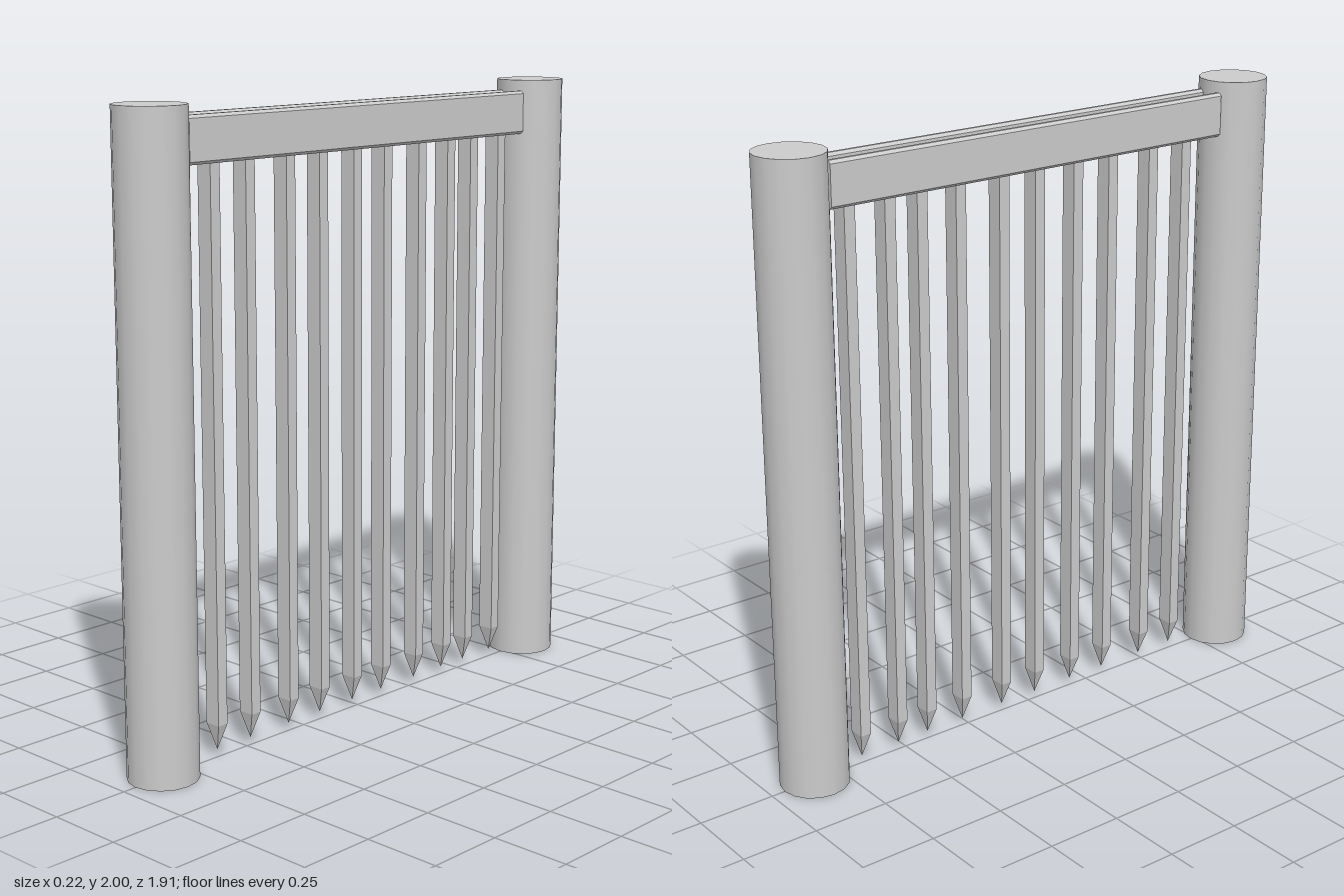
import * as THREE from 'three';

const smoothMat = new THREE.MeshStandardMaterial({ color: 0xcccccc });
const flatMat = new THREE.MeshStandardMaterial({ color: 0xcccccc, flatShading: true });

function add(group, name, geometry, material, x, y, z) {
  const mesh = new THREE.Mesh(geometry, material);
  mesh.name = name;
  mesh.position.set(x, y, z);
  group.add(mesh);
}

// Bar along z with chamfered long edges
function railGeometry(width, height, length, chamfer) {
  const w = width / 2, h = height / 2, c = chamfer;
  const section = new THREE.Shape([
    [w - c, -h], [w, -h + c], [w, h - c], [w - c, h],
    [c - w, h], [-w, h - c], [-w, c - h], [c - w, -h],
  ].map(([x, y]) => new THREE.Vector2(x, y)));
  return new THREE.ExtrudeGeometry(section, { depth: length, bevelEnabled: false })
    .translate(0, 0, -length / 2);
}

// Four-sided bar ending in a point at the bottom
function picketGeometry(width, depth, tip, shoulder, top) {
  const r = Math.SQRT1_2;
  const profile = [[0, tip], [r, shoulder], [r, top], [0, top]]
    .map(([x, y]) => new THREE.Vector2(x, y));
  return new THREE.LatheGeometry(profile, 4, Math.PI / 4).scale(width, 1, depth);
}

export function createModel() {
  const model = new THREE.Group();
  model.name = 'hangingPicketGate';

  // Round end posts and the pair of rails clamping the pickets
  const post = new THREE.CylinderGeometry(0.11, 0.11, 2, 16);
  const rail = railGeometry(0.028, 0.142, 1.49, 0.009);
  for (const side of [1, -1]) {
    add(model, side > 0 ? 'frontPost' : 'backPost', post, smoothMat, 0, 1, side * 0.845);
    add(model, side > 0 ? 'leftRail' : 'rightRail', rail, flatMat, side * 0.04, 1.894, 0);
  }

  // Unevenly spaced pointed pickets hanging between the rails
  const picket = picketGeometry(0.054, 0.037, 0.025, 0.11, 1.94);
  const spacing = [0.625, 0.485, 0.318, 0.177, 0.026, -0.112, -0.274, -0.414, -0.528, -0.668];
  spacing.forEach((z, i) => add(model, `picket${i + 1}`, picket, flatMat, 0, 0, z));

  return model;
}
